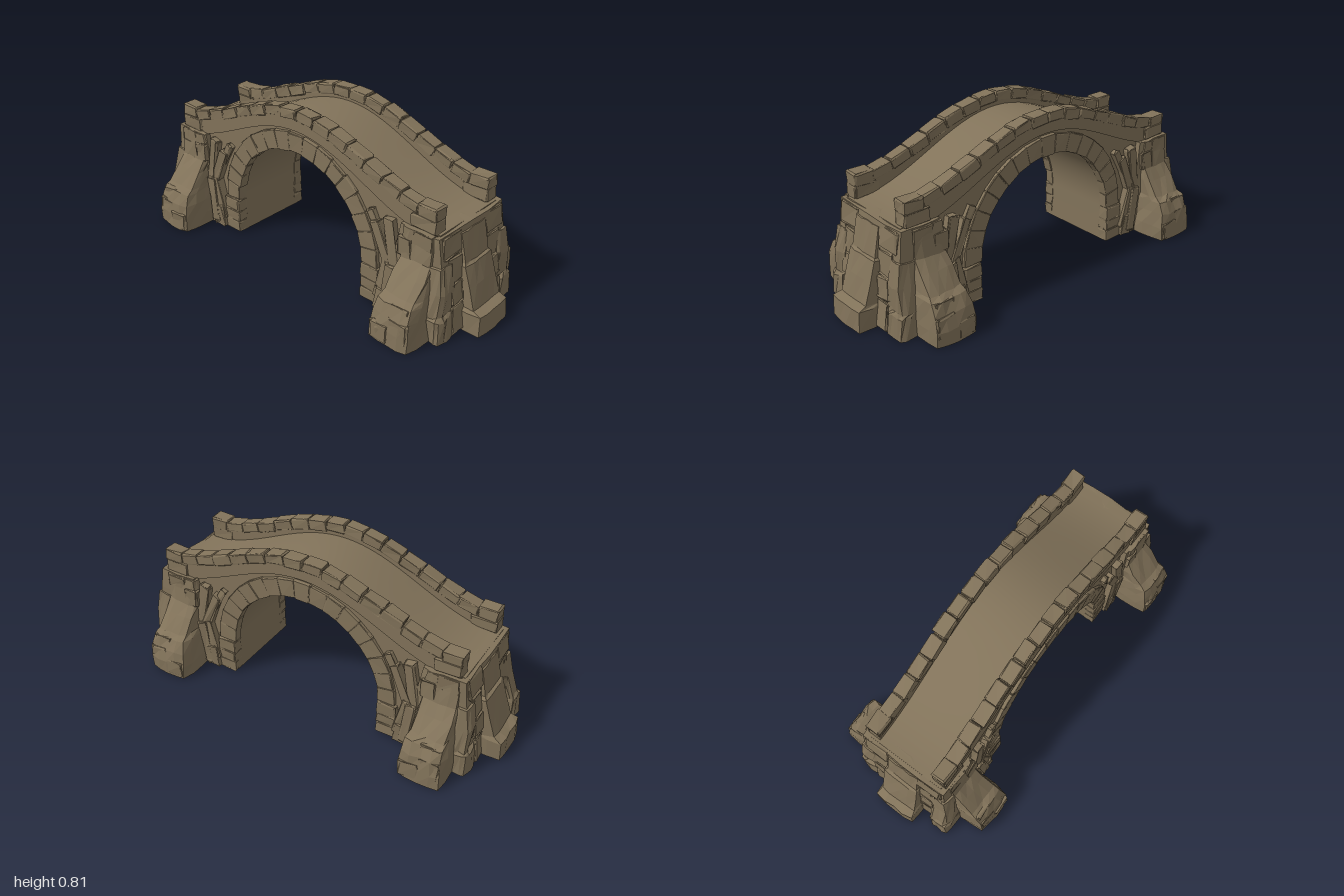
import * as THREE from 'three';
import { mergeGeometries, toCreasedNormals } from 'three/addons/utils/BufferGeometryUtils.js';
import { RoundedBoxGeometry } from 'three/addons/geometries/RoundedBoxGeometry.js';

const ARCH_R = 0.412, ARCH_Y = 0.188, END = 0.82;
const hump = (x) => Math.cos((Math.min(Math.abs(x), END) / END) * Math.PI / 2) ** 2;
const deckY = (x) => 0.49 + 0.243 * hump(x);
const copingY = (x) => 0.592 + 0.21 * hump(x);

// Seeded random numbers
let state = 7;
const rand = () => {
  state = (state * 16807) % 2147483647;
  return state / 2147483647;
};
const vary = (a) => (rand() * 2 - 1) * a;

// Move every vertex by a rule
function warp(geo, rule) {
  const p = geo.attributes.position, v = new THREE.Vector3();
  for (let i = 0; i < p.count; i++) {
    rule(v.fromBufferAttribute(p, i));
    p.setXYZ(i, v.x, v.y, v.z);
  }
  geo.computeVertexNormals();
  return geo;
}

// Jitter the surface; coincident vertices stay together and the base stays on the ground
function roughen(geo, amount) {
  const moved = new Map();
  return warp(geo, (v) => {
    const key = [v.x, v.y, v.z].map((n) => Math.round(n * 2000)).join();
    if (!moved.has(key)) moved.set(key, [vary(amount), vary(amount), vary(amount)]);
    const [a, b, c] = moved.get(key);
    v.set(v.x + a, v.y < 0.001 ? 0 : Math.max(0, v.y + b), v.z + c);
  });
}

// Chipped stone block centred on (x, y, z)
function stone(w, h, d, x, y, z, rot = 0, amount = 0.004) {
  const geo = new RoundedBoxGeometry(w, h, d, 1, Math.min(w, h, d) * 0.12);
  geo.rotateZ(rot).translate(x, y, z);
  return roughen(geo, amount);
}

// Tapering rock mass; each section is [y, x0, x1, z0, z1]
function mass(sections, amount = 0.008, pinch = 0.9) {
  const n = sections.length - 1;
  const geo = new THREE.BoxGeometry(1, 1, 1, 4, n, 4).toNonIndexed();
  warp(geo, (v) => {
    const [y, x0, x1, z0, z1] = sections[Math.round((v.y + 0.5) * n)];
    const k = Math.abs(v.x) > 0.49 && Math.abs(v.z) > 0.49 ? pinch : 1;
    v.set(x0 + (x1 - x0) * (v.x * k + 0.5), y, z0 + (z1 - z0) * (v.z * k + 0.5));
  });
  return roughen(geo, amount);
}

// Mirrors sections into one corner of the bridge
const corner = (list, sx, sz) => list.map(([y, a, b, c, d]) => [
  y, Math.min(a * sx, b * sx), Math.max(a * sx, b * sx),
  Math.min(c * sz, d * sz), Math.max(c * sz, d * sz)]);

export function createModel() {
  const model = new THREE.Group();
  const stoneMat = new THREE.MeshStandardMaterial({ color: 0x82735a });
  stoneMat.name = 'weathered stone';
  const add = (name, geos) => {
    const mesh = new THREE.Mesh(mergeGeometries(geos), stoneMat);
    mesh.name = name;
    model.add(mesh);
  };

  // Body: humped, slightly cambered deck above a round arch
  const outline = new THREE.Shape();
  outline.moveTo(ARCH_R, 0).lineTo(0.86, 0).lineTo(END, 0.49);
  for (let i = 1; i <= 32; i++) {
    const x = END - (i / 32) * END * 2;
    outline.lineTo(x, deckY(x));
  }
  outline.lineTo(-0.86, 0).lineTo(-ARCH_R, 0).lineTo(-ARCH_R, ARCH_Y);
  outline.absarc(0, ARCH_Y, ARCH_R, Math.PI, 0, true);
  outline.lineTo(ARCH_R, 0);
  const body = new THREE.ExtrudeGeometry(outline, { depth: 0.41, steps: 4, bevelEnabled: false, curveSegments: 32 });
  body.translate(0, 0, -0.205);
  warp(body, (v) => {
    if (v.y > deckY(v.x) - 0.001) v.y += 0.012 * hump(v.x) * (1 - (v.z / 0.205) ** 2);
  });
  add('archBody', [toCreasedNormals(body, 0.5)]);

  // Arch ring: wedge stones bent around the opening, then straight jambs
  const ring = [], count = 17, mid = 0.455, step = Math.PI / count;
  for (const sz of [1, -1]) {
    for (let i = 0; i < count; i++) {
      const angle = -Math.PI / 2 + (i + 0.5) * step;
      const geo = new RoundedBoxGeometry(step * mid, 0.094 + vary(0.007), 0.05, 1, 0.004);
      warp(geo, (v) => {
        const a = angle + v.x / mid, r = mid + v.y;
        v.set(Math.sin(a) * r, ARCH_Y + Math.cos(a) * r, v.z + sz * 0.197);
      });
      ring.push(roughen(geo, 0.002));
    }
    for (const sx of [1, -1]) {
      for (const [y, h, w] of [[0.03, 0.06, 0.14], [0.09, 0.06, 0.11], [0.152, 0.07, 0.1]]) {
        ring.push(stone(w, h, 0.06, sx * (0.41 + w / 2), y, sz * 0.2, 0, 0.003));
      }
    }
  }
  add('archRing', ring);

  // Parapets: a solid curved course topped by separate coping stones
  const wall = [], coping = [];
  for (const sz of [1, -1]) {
    const strip = new THREE.BoxGeometry(1.6, 1, 0.06, 32, 1, 1).toNonIndexed();
    wall.push(warp(strip, (v) => {
      v.y = v.y > 0 ? copingY(v.x) - 0.025 : deckY(v.x) - 0.03;
      v.z += sz * 0.184;
    }));
    const n = 14, len = 1.42 / n;
    for (let i = 0; i < n; i++) {
      const x = -0.71 + (i + 0.5) * len;
      const slope = Math.atan((copingY(x + 0.02) - copingY(x - 0.02)) / 0.04);
      coping.push(stone(len / Math.cos(slope) - 0.003, 0.052 + vary(0.004), 0.07 + vary(0.004),
        x, copingY(x) - 0.024 + vary(0.003), sz * (0.184 + vary(0.003)), slope + vary(0.03), 0.003));
    }
    for (const sx of [1, -1]) {
      coping.push(stone(0.1, 0.06, 0.076, sx * 0.757, 0.576 + vary(0.005), sz * 0.186));
      coping.push(stone(0.13, 0.065, 0.074, sx * 0.742, 0.522, sz * 0.188));
    }
  }
  add('parapetWall', wall);
  add('copingStones', coping);

  const piers = [], buttresses = [], ends = [], corners = [], shards = [], facing = [];
  for (const sx of [1, -1]) {
    // Pier core under each end of the deck
    piers.push(mass(corner([
      [0, 0.55, 0.885, -0.245, 0.245], [0.12, 0.57, 0.882, -0.245, 0.245], [0.25, 0.59, 0.868, -0.243, 0.243],
      [0.38, 0.61, 0.85, -0.24, 0.24], [0.488, 0.63, 0.838, -0.238, 0.238]], sx, 1), 0.005, 0.97));

    // Stepped buttress on the end face
    ends.push(mass(corner([
      [0, 0.7, 0.995, -0.105, 0.115], [0.1, 0.7, 0.99, -0.105, 0.115], [0.115, 0.7, 0.95, -0.1, 0.105],
      [0.22, 0.7, 0.92, -0.1, 0.1], [0.31, 0.7, 0.89, -0.1, 0.1], [0.32, 0.7, 0.878, -0.09, 0.095],
      [0.46, 0.7, 0.848, -0.085, 0.09]], sx, 1), 0.004, 0.96));

    for (const sz of [1, -1]) {
      // Sloping side buttress
      const shift = sx * sz > 0 ? 0.01 : sx > 0 ? -0.015 : -0.003;
      const s = (x) => x + shift;
      buttresses.push(mass(corner([
        [0, s(0.605), s(0.83), 0.15, 0.425], [0.07, s(0.608), s(0.828), 0.15, 0.424],
        [0.14, s(0.615), s(0.822), 0.15, 0.412], [0.195, s(0.622), s(0.818), 0.15, 0.386],
        [0.215, s(0.63), s(0.812), 0.15, 0.355], [0.29, s(0.63), s(0.81), 0.15, 0.3],
        [0.345, s(0.635), s(0.805), 0.15, 0.257], [0.42, s(0.63), s(0.805), 0.15, 0.248],
        [0.485, s(0.64), s(0.8), 0.15, 0.242]], sx, sz), 0.005, 0.92));

      // Broken rock at the pier corners
      const out = sx < 0 && sz > 0 ? 0.935 : 0.9;
      corners.push(mass(corner([
        [0, 0.78, out, 0.17, 0.28], [0.11, 0.78, out - 0.005, 0.17, 0.28], [0.125, 0.78, out - 0.02, 0.17, 0.275],
        [0.24, 0.77, 0.882, 0.16, 0.262], [0.35, 0.76, 0.86, 0.15, 0.246]], sx, sz), 0.006));

      // Slanting shards bundled between pier and arch ring
      for (const [x, y, h, w, tilt, z] of [
        [0.515, 0.375, 0.25, 0.035, 0.5, 0.2], [0.545, 0.32, 0.26, 0.045, 0.4, 0.212],
        [0.59, 0.34, 0.28, 0.05, 0.18, 0.21], [0.58, 0.14, 0.24, 0.05, -0.12, 0.222],
        [0.545, 0.16, 0.22, 0.045, -0.22, 0.212], [0.545, 0.06, 0.12, 0.07, -0.1, 0.218]]) {
        shards.push(stone(w, h, 0.06, sx * x, y, sz * z, sx * tilt, 0.006));
      }

      // Chipped stones set into the buttress and end faces
      for (const [x, y, z, w, h, d] of [
        [0.67, 0.05, 0.385, 0.1, 0.09, 0.08], [0.765, 0.09, 0.38, 0.1, 0.1, 0.07],
        [0.755, 0.17, 0.36, 0.1, 0.06, 0.06], [0.66, 0.39, 0.235, 0.07, 0.09, 0.035],
        [0.75, 0.45, 0.228, 0.1, 0.07, 0.035]]) {
        facing.push(stone(w, h, d, sx * (x + shift), y, sz * z, vary(0.05), 0.005));
      }
      for (const [x, y, z, h, d] of [
        [0.825, 0.43, 0.15, 0.1, 0.13], [0.84, 0.31, 0.14, 0.12, 0.09],
        [0.86, 0.2, 0.14, 0.1, 0.08], [0.872, 0.07, 0.14, 0.13, 0.08]]) {
        facing.push(stone(0.05, h, d, sx * x, y, sz * z, sx * 0.12, 0.006));
      }
    }
  }
  add('pierCores', piers);
  add('endButtresses', ends);
  add('sideButtresses', buttresses);
  add('cornerRocks', corners);
  add('spandrelShards', shards);
  add('facingStones', facing);
  return model;
}
